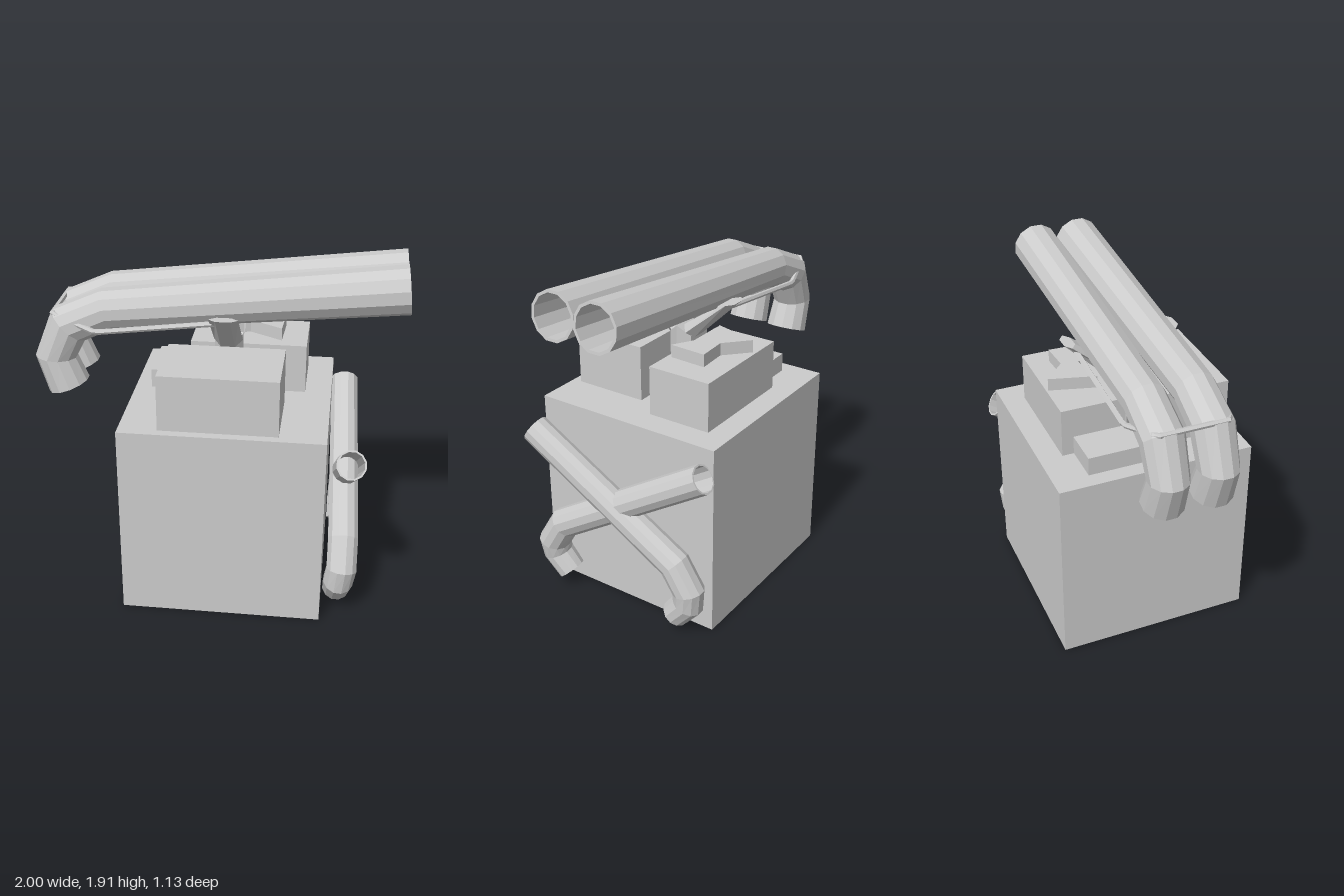
import * as THREE from 'three';

const V = (x, y, z) => new THREE.Vector3(x, y, z);
const grey = new THREE.MeshStandardMaterial({ color: 0xcccccc, flatShading: true, side: THREE.DoubleSide });

function add(parent, name, geometry) {
  const mesh = new THREE.Mesh(geometry, grey);
  mesh.name = name;
  parent.add(mesh);
  return mesh;
}

// Box given by its minimum and maximum corners
function block(parent, name, x0, x1, y0, y1, z0, z1) {
  const mesh = add(parent, name, new THREE.BoxGeometry(x1 - x0, y1 - y0, z1 - z0));
  mesh.position.set((x0 + x1) / 2, (y0 + y1) / 2, (z0 + z1) / 2);
}

// Skin over a list of closed rings with equal point counts
function skin(rings) {
  const n = rings[0].length, pos = [], idx = [];
  rings.forEach(r => r.forEach(p => pos.push(p.x, p.y, p.z)));
  for (let i = 0; i < rings.length - 1; i++) {
    for (let j = 0; j < n; j++) {
      const a = i * n + j, b = i * n + (j + 1) % n;
      idx.push(a, a + n, b, b, a + n, b + n);
    }
  }
  const g = new THREE.BufferGeometry();
  g.setAttribute('position', new THREE.Float32BufferAttribute(pos, 3));
  g.setIndex(idx);
  const flat = g.toNonIndexed();
  flat.computeVertexNormals();
  return flat;
}

// Mitred pipe, bored open at its first point and capped at its last
function pipe(points, radii, side, sides = 12) {
  const ring = (p, r, d, stretch = 1) => {
    const b = side.clone().addScaledVector(d, -side.dot(d)).normalize();
    const n = d.clone().cross(b);
    return Array.from({ length: sides }, (_, j) => {
      const a = (j + 0.5) / sides * Math.PI * 2;
      return p.clone().addScaledVector(n, Math.cos(a) * r * stretch).addScaledVector(b, Math.sin(a) * r);
    });
  };
  const last = points.length - 1;
  const dirs = points.slice(1).map((p, i) => p.clone().sub(points[i]).normalize());
  const deep = points[0].clone().lerp(points[1], 0.95);
  const rings = [
    ring(deep, 0, dirs[0]),
    ring(deep, radii[1] * 0.88, dirs[0]),
    ring(points[0], radii[0] * 0.88, dirs[0]),
  ];
  points.forEach((p, i) => {
    const before = dirs[Math.max(i - 1, 0)], after = dirs[Math.min(i, last - 1)];
    const d = before.clone().add(after).normalize();
    rings.push(ring(p, radii[i], d, 1 / d.dot(after)));
  });
  rings.push(ring(points[last], 0, dirs[last - 1]));
  return skin(rings);
}

export function createModel() {
  const model = new THREE.Group();
  model.name = 'crateWithPipes';

  // Crate and the boxes on top
  block(model, 'crate', -0.49, 0.605, 0, 1.1, -0.54, 0.56);
  block(model, 'frontBox', -0.28, 0.355, 1.1, 1.41, 0.09, 0.51);
  block(model, 'backBox', -0.18, 0.46, 1.1, 1.375, -0.41, -0.045);
  block(model, 'smallBox', -0.4, -0.17, 1.1, 1.205, -0.345, -0.01);

  // Notched slab lying on the back box
  const outline = [[0.03, 0.405], [-0.04, 0.15], [0.14, 0.19], [0.32, 0.085], [0.33, 0.295], [0.16, 0.285]];
  const slab = new THREE.Shape(outline.map(([x, y]) => new THREE.Vector2(x, y)));
  const slabMesh = add(model, 'notchedSlab', new THREE.ExtrudeGeometry(slab, { depth: 0.07, bevelEnabled: false }));
  slabMesh.rotation.x = -Math.PI / 2;
  slabMesh.position.y = 1.387;

  // Forked stand: six-sided post and two tapering arms
  const stand = new THREE.Group();
  stand.name = 'forkedStand';
  model.add(stand);
  const hex = Array.from({ length: 6 }, (_, i) => [Math.cos(i * Math.PI / 3), Math.sin(i * Math.PI / 3) / 0.866]);
  const post = hex.map(([c, s]) => [0.042 + 0.078 * c, 0.022 + 0.067 * s, Math.abs(s)]);
  add(stand, 'post', skin([
    post.map(([x, z]) => V(x, 1.1, z)),
    post.map(([x, z, e]) => V(x, 1.47 - 0.06 * e, z)),
    post.map(() => V(0.042, 1.47, 0.022)),
  ]));
  for (const s of [1, -1]) {
    const at = (k, y, z0, dz, dy = 0) => hex.map(([c, e]) =>
      V(0.042 + 0.078 * c * k, y - dy * e, (s > 0 ? 0.022 : 0) + s * (z0 + dz * e)));
    add(stand, s > 0 ? 'leftArm' : 'rightArm', skin([
      at(1, 1.44, 0.035, 0.033, 0.03), at(1, 1.65, 0.285, 0.03), at(0, 1.65, 0.285, 0),
    ]));
  }

  // Twin bent barrels
  const bends = [[0.983, 1.79], [-0.6, 1.62], [-0.81, 1.525], [-0.89, 1.34], [-0.83, 1.17]];
  const barrelRadii = [0.13, 0.112, 0.115, 0.107, 0.117];
  const barrelZ = { leftBarrel: [0.125, 0.145], rightBarrel: [-0.13, -0.122] };
  for (const [name, [z0, z1]] of Object.entries(barrelZ)) {
    const points = bends.map(([x, y], i) => V(x, y, i ? z1 : z0));
    add(model, name, pipe(points, barrelRadii, V(0, 0, 1)));
  }

  // Strap running from the fork around the bend of both barrels
  const strap = new THREE.CurvePath();
  const stops = [V(0, 1.605, 0.25), V(-0.64, 1.535, 0.275), V(-0.885, 1.6, 0.2),
    V(-0.885, 1.6, -0.18), V(-0.64, 1.535, -0.25), V(0, 1.605, -0.25)];
  stops.slice(1).forEach((p, i) => strap.add(new THREE.LineCurve3(stops[i], p)));
  add(model, 'strap', new THREE.TubeGeometry(strap, 60, 0.015, 6));

  // Crossed pipes on the side of the crate
  const profile = [[0.525, 0.97], [-0.365, 0.415], [-0.45, 0.275], [-0.443, 0.19], [-0.36, 0.09]];
  const radii = [0.08, 0.085, 0.085, 0.083, 0.078];
  const depth = {
    outerCrossPipe: [1, [0.735, 0.7, 0.695, 0.69, 0.685]],
    innerCrossPipe: [-1, [0.675, 0.715, 0.715, 0.7, 0.69]],
  };
  for (const [name, [s, xs]] of Object.entries(depth)) {
    add(model, name, pipe(profile.map(([z, y], i) => V(xs[i], y, s * z)), radii, V(1, 0, 0)));
  }
  return model;
}
